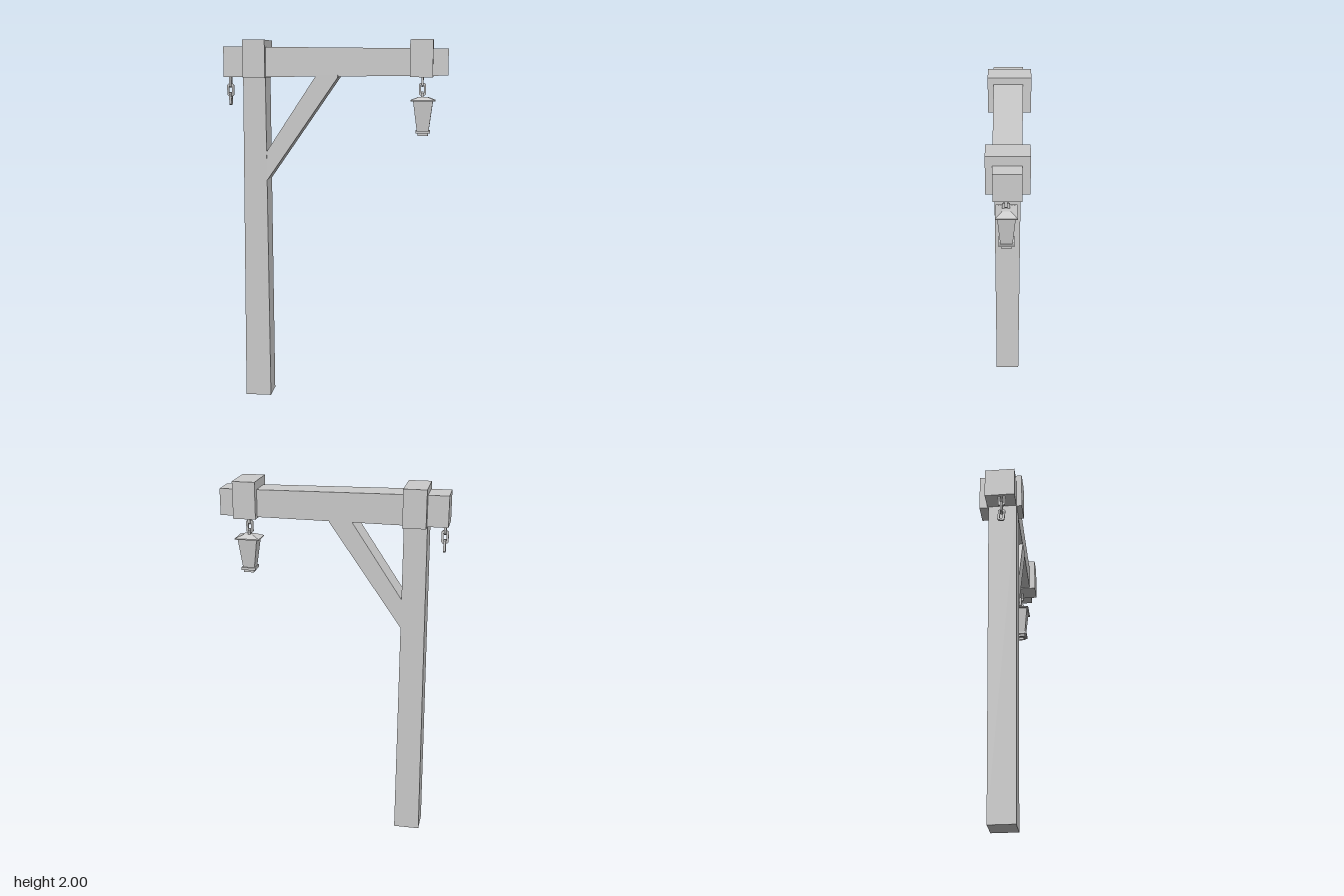
import * as THREE from 'three';

const material = new THREE.MeshStandardMaterial({ color: 0xcccccc, flatShading: true });

function addMesh(parent, name, geometry) {
  const mesh = new THREE.Mesh(geometry, material);
  mesh.name = name;
  parent.add(mesh);
  return mesh;
}

// Box whose ends along one axis are two different rectangles.
// Each end is { at, u: [min, max], v: [min, max] }; u, v are the remaining axes in xyz order.
function taperedBox(axis, start, end) {
  const geometry = new THREE.BoxGeometry(1, 1, 1);
  const pos = geometry.attributes.position;
  const [u, v] = [0, 1, 2].filter((i) => i !== axis);
  for (let i = 0; i < pos.count; i++) {
    const p = [pos.getX(i), pos.getY(i), pos.getZ(i)];
    const e = p[axis] < 0 ? start : end;
    p[u] = e.u[p[u] < 0 ? 0 : 1];
    p[v] = e.v[p[v] < 0 ? 0 : 1];
    p[axis] = e.at;
    pos.setXYZ(i, ...p);
  }
  geometry.computeVertexNormals();
  return geometry;
}

function box(x, y, z) {
  const geometry = new THREE.BoxGeometry(x[1] - x[0], y[1] - y[0], z[1] - z[0]);
  return geometry.translate((x[0] + x[1]) / 2, (y[0] + y[1]) / 2, (z[0] + z[1]) / 2);
}

// Flat chain link with chamfered corners and an open middle
function linkGeometry(width, height, bar, thickness) {
  const outline = (w, h, c) => [
    [-w + c, -h], [w - c, -h], [w, -h + c], [w, h - c],
    [w - c, h], [-w + c, h], [-w, h - c], [-w, -h + c],
  ].map(([x, y]) => new THREE.Vector2(x, y));
  const shape = new THREE.Shape(outline(width / 2, height / 2, 0.007));
  shape.holes.push(new THREE.Path(outline(width / 2 - bar, height / 2 - bar, 0.003)));
  return new THREE.ExtrudeGeometry(shape, { depth: thickness, bevelEnabled: false })
    .translate(0, 0, -thickness / 2);
}

function createChain(name, x, y, z, tilt) {
  const chain = new THREE.Group();
  chain.name = name;
  chain.position.set(x, y, z);
  const geometry = linkGeometry(0.038, 0.068, 0.011, 0.012);
  for (let i = 0; i < 3; i++) {
    const link = addMesh(chain, 'chainLink', geometry);
    link.position.y = -0.026 - i * 0.047;
    link.rotation.y = i % 2 ? 0 : Math.PI / 2;
    if (i === 2) {
      link.rotation.x = tilt;
    }
  }
  return chain;
}

// Lantern with a shallow hipped roof and a body narrowing to a stepped base
function createLantern() {
  const lantern = new THREE.Group();
  lantern.name = 'lantern';
  const layer = (name, y0, w0, d0, y1, w1, d1) => addMesh(lantern, name, taperedBox(1,
    { at: y0, u: [-w0 / 2, w0 / 2], v: [-d0 / 2, d0 / 2] },
    { at: y1, u: [-w1 / 2, w1 / 2], v: [-d1 / 2, d1 / 2] }));
  layer('lanternRoofEave', 1.672, 0.134, 0.108, 1.678, 0.134, 0.108);
  layer('lanternRoof', 1.678, 0.134, 0.108, 1.695, 0.05, 0.04);
  layer('lanternBody', 1.512, 0.064, 0.06, 1.672, 0.106, 0.09);
  layer('lanternBase', 1.5, 0.078, 0.078, 1.514, 0.078, 0.078);

  // Open frame under the base
  const foot = new THREE.Shape();
  const s = 0.028, h = 0.019;
  foot.moveTo(-s, -s).lineTo(s, -s).lineTo(s, s).lineTo(-s, s).closePath();
  const hole = new THREE.Path();
  hole.moveTo(-h, -h).lineTo(-h, h).lineTo(h, h).lineTo(h, -h).closePath();
  foot.holes.push(hole);
  addMesh(lantern, 'lanternFoot', new THREE.ExtrudeGeometry(foot, { depth: 0.015, bevelEnabled: false })
    .rotateX(-Math.PI / 2).translate(0, 1.486, 0));
  lantern.position.set(0.473, 0, 0.01);
  return lantern;
}

export function createModel() {
  const model = new THREE.Group();
  model.name = 'lanternPost';

  // Upright post and tapering crossbeam
  addMesh(model, 'post', taperedBox(1,
    { at: 0, u: [-0.512, -0.37], v: [-0.06, 0.08] },
    { at: 1.82, u: [-0.502, -0.38], v: [-0.07, 0.085] }));
  addMesh(model, 'beam', taperedBox(0,
    { at: -0.61, u: [1.8, 1.965], v: [-0.077, 0.085] },
    { at: 0.606, u: [1.81, 1.952], v: [-0.064, 0.074] }));

  // Blocks wrapped around the beam
  addMesh(model, 'postCap', box([-0.5, -0.378], [1.798, 2], [-0.12, 0.114]));
  addMesh(model, 'beamBlock', box([0.403, 0.525], [1.802, 2], [-0.103, 0.109]));

  // Diagonal brace between post and beam
  const brace = new THREE.Shape();
  brace.moveTo(-0.39, 1.24).lineTo(-0.375, 1.24).lineTo(0.015, 1.8).lineTo(0.015, 1.812)
    .lineTo(-0.102, 1.812).lineTo(-0.375, 1.4).lineTo(-0.39, 1.39).closePath();
  addMesh(model, 'brace', new THREE.ExtrudeGeometry(brace, { depth: 0.148, bevelEnabled: false })
    .translate(0, 0, -0.066));

  // Hanging chains and the lantern
  model.add(createChain('spareChain', -0.588, 1.803, 0.012, 0.1));
  model.add(createChain('lanternChain', 0.468, 1.81, 0.012, 0));
  model.add(createLantern());
  return model;
}
